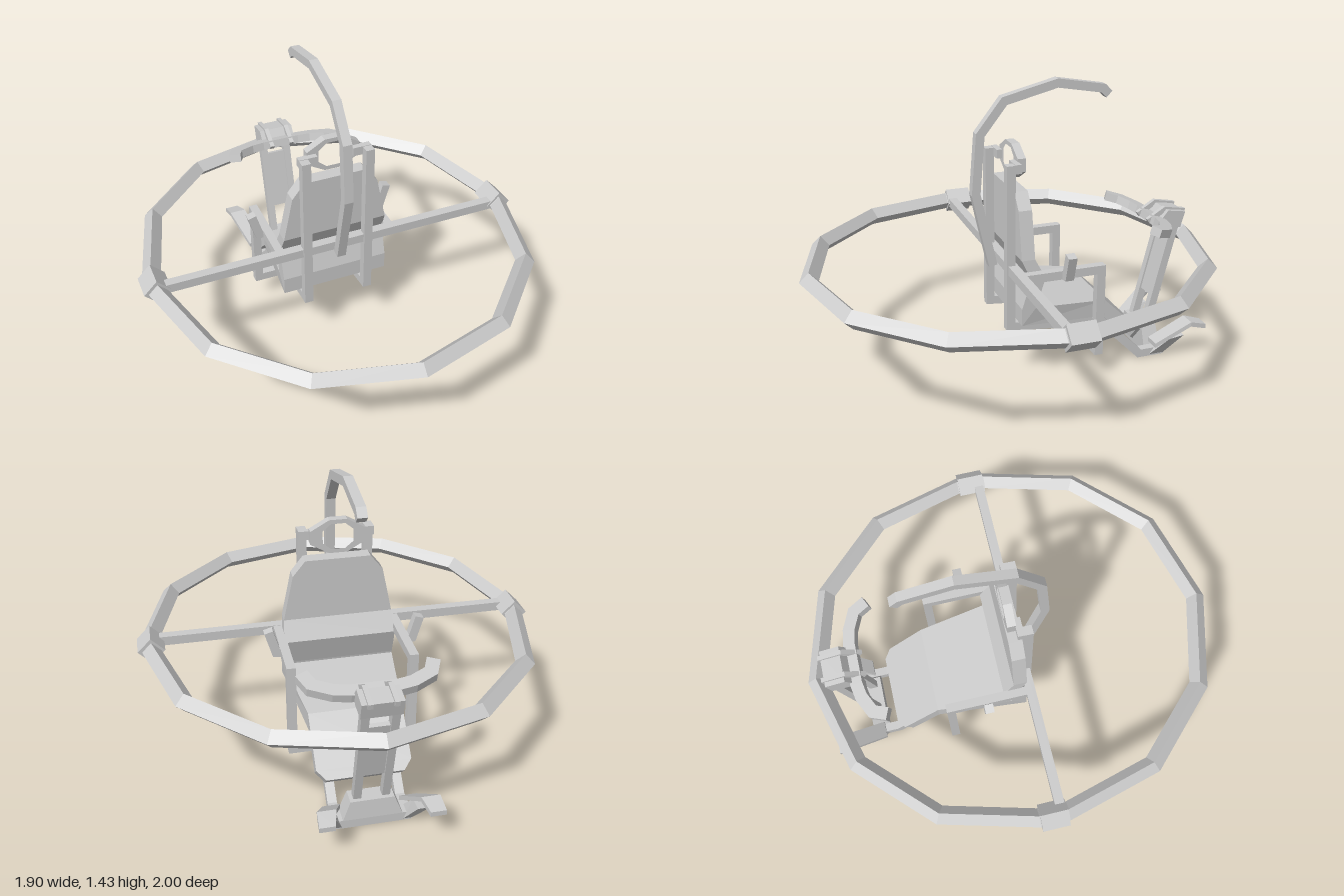
import * as THREE from 'three';

const V = (x, y, z) => new THREE.Vector3(x, y, z);
const material = new THREE.MeshStandardMaterial({ color: 0xcccccc, flatShading: true });

// Skin a row of equal-sized convex sections; open rows get end caps.
function loft(sections, closed = false) {
  const tris = [];
  const rows = sections.length, n = sections[0].length;
  for (let i = 0; i < (closed ? rows : rows - 1); i++) {
    const a = sections[i], b = sections[(i + 1) % rows];
    for (let j = 0; j < n; j++) {
      const k = (j + 1) % n;
      tris.push([a[j], a[k], b[k]], [a[j], b[k], b[j]]);
    }
  }
  if (!closed) {
    const a = sections[0], b = sections[rows - 1];
    for (let j = 1; j < n - 1; j++) tris.push([a[0], a[j + 1], a[j]], [b[0], b[j], b[j + 1]]);
  }
  // Turn the skin outwards if its signed volume is negative
  const centre = sections[0][0];
  let volume = 0;
  for (const t of tris) {
    const [p, q, r] = t.map(v => v.clone().sub(centre));
    volume += p.dot(q.cross(r));
  }
  if (volume < 0) tris.forEach(t => t.reverse());
  const geometry = new THREE.BufferGeometry();
  geometry.setAttribute('position', new THREE.Float32BufferAttribute(tris.flat().flatMap(v => v.toArray()), 3));
  geometry.computeVertexNormals();
  return geometry;
}

// Mitred square bar along a flat path; w is measured along the plane normal.
function bar(path, normal, w, h) {
  const nrm = normal.clone().normalize();
  return loft(path.map((p, i) => {
    const into = p.clone().sub(path[Math.max(i - 1, 0)]).normalize();
    const out = path[Math.min(i + 1, path.length - 1)].clone().sub(p).normalize();
    const tangent = into.clone().add(out).normalize();
    const miter = Math.max(tangent.dot(into), tangent.dot(out), 0.4);
    const side = tangent.cross(nrm).normalize().multiplyScalar(h / 2 / miter);
    return [[-1, -1], [1, -1], [1, 1], [-1, 1]].map(([s, t]) =>
      p.clone().addScaledVector(nrm, s * w / 2).addScaledVector(side, t));
  }));
}

const sidePath = (x, points) => points.map(([z, y]) => V(x, y, z));
const X = V(1, 0, 0), Y = V(0, 1, 0), Z = V(0, 0, 1);

export function createModel() {
  const group = new THREE.Group();
  const add = (name, geometry) => {
    const mesh = new THREE.Mesh(geometry, material);
    mesh.name = name;
    group.add(mesh);
    return mesh;
  };
  const addBox = (name, w, h, d, x, y, z) => {
    const mesh = add(name, new THREE.BoxGeometry(w, h, d));
    mesh.position.set(x, y, z);
    return mesh;
  };

  // Large hoop: two half circles joined by short straights, diamond section
  const hoop = [];
  for (let half = 0; half < 2; half++) {
    for (let i = 0; i <= 6; i++) {
      const a = -Math.PI / 2 + half * Math.PI + i * Math.PI / 6;
      const at = (r, y) => V(r * Math.sin(a), y, r * Math.cos(a) + (half ? -0.07 : 0.07));
      hoop.push([at(0.93, 0.583), at(0.885, 0.628), at(0.84, 0.583), at(0.885, 0.538)]);
    }
  }
  add('hoop', loft(hoop, true));

  // Crossbar and its sleeves on the hoop
  addBox('crossbar', 1.72, 0.045, 0.045, 0, 0.583, 0.038);
  for (const s of [-1, 1]) {
    const sleeve = addBox('hoopSleeve', 0.09, 0.09, 0.13, s * 0.888, 0.583, 0);
    sleeve.rotation.z = Math.PI / 4;
  }

  // Overhead hook
  add('overheadHook', bar(sidePath(0, [[0.083, 0.55], [0.165, 0.915], [0.142, 1.2], [0.025, 1.35],
    [-0.235, 1.415], [-0.465, 1.375], [-0.495, 1.345]]), X, 0.044, 0.042));

  // Seat: back, base and leg rest as one bent slab
  // [back z, back y, front z, front y, half width]
  const seat = [
    [0.025, 0.96, -0.04, 0.96, 0.155],
    [0.025, 0.885, -0.04, 0.885, 0.215],
    [0.025, 0.66, -0.04, 0.66, 0.262],
    [-0.02, 0.565, -0.09, 0.565, 0.27],
    [0.025, 0.42, -0.047, 0.43, 0.27],
    [0.025, 0.335, -0.045, 0.42, 0.27],
    [-0.42, 0.295, -0.42, 0.38, 0.22],
    [-0.565, 0.157, -0.605, 0.2, 0.22],
    [-0.6, 0.123, -0.64, 0.165, 0.18],
  ];
  add('seat', loft(seat.map(([bz, by, fz, fy, w]) =>
    [V(-w, by, bz), V(w, by, bz), V(w, fy, fz), V(-w, fy, fz)])));

  // Headrest ring
  const octagon = (x1, y1, x2, y2) => [[x1, y1], [x2, y2], [x2, -y2], [x1, -y1],
    [-x1, -y1], [-x2, -y2], [-x2, y2], [-x1, y1]].map(([x, y]) => new THREE.Vector2(x, y));
  const ring = new THREE.Shape(octagon(0.042, 0.082, 0.13, 0.032));
  ring.holes.push(new THREE.Path(octagon(0.034, 0.062, 0.072, 0.03)));
  add('headrest', new THREE.ExtrudeGeometry(ring, { depth: 0.04, bevelEnabled: false }))
    .position.set(0, 1.073, -0.04);

  for (const s of [-1, 1]) {
    // Upright running down and forward under the seat to the foot end
    add('mainRail', bar(sidePath(s * 0.157, [[0.047, 1.09], [0.047, 0.292], [-0.425, 0.247],
      [-0.645, 0.025], [-0.78, 0.025]]), X, 0.043, 0.042));
    addBox('headrestTab', 0.09, 0.043, 0.03, s * 0.133, 1.071, 0.012);

    // Arm bar and drop leg
    add('armFrame', bar(sidePath(s * 0.285, [[0.038, 0.583], [-0.357, 0.583], [-0.357, 0.14]]), X, 0.042, 0.042));

    // Control stick on the arm
    add('controlStick', bar([V(s * 0.29, 0.58, -0.18), V(s * 0.325, 0.585, -0.18), V(s * 0.357, 0.695, -0.18)],
      Z, 0.042, 0.042));

    // Steering column posts and clamps
    add('columnPost', bar(sidePath(s * 0.065, [[-0.725, 0.11], [-0.865, 0.7]]), X, 0.036, 0.04));
    add('handlebarClamp', bar(sidePath(s * 0.055, [[-0.715, 0.695], [-0.805, 0.75], [-0.915, 0.73]]), X, 0.022, 0.025));

    // Flared pedal plate with a bracket down to the rail
    const pedal = [[0.135, 0.215, 0.075, -0.715], [0.185, 0.27, 0.195, -0.88], [0.205, 0.275, 0.175, -0.96]];
    add('pedal', loft(pedal.map(([x1, x2, y, z]) => [V(s * x1, y - 0.012, z), V(s * x2, y - 0.012, z),
      V(s * x2, y + 0.012, z), V(s * x1, y + 0.012, z)])));
    add('pedalBracket', loft([
      [V(s * 0.14, 0.01, -0.7), V(s * 0.178, 0.01, -0.7), V(s * 0.178, 0.01, -0.78), V(s * 0.14, 0.01, -0.78)],
      [V(s * 0.18, 0.115, -0.78), V(s * 0.24, 0.115, -0.78), V(s * 0.24, 0.125, -0.86), V(s * 0.18, 0.125, -0.86)],
    ]));
  }
  addBox('underSeatBar', 0.61, 0.042, 0.042, 0, 0.157, -0.357);

  // Tapered column base
  const rect = (w, y, z1, z2) => [V(-w, y, z1), V(w, y, z1), V(w, y, z2), V(-w, y, z2)];
  add('columnBase', loft([rect(0.145, 0.003, -0.69, -0.78), rect(0.135, 0.045, -0.69, -0.78),
    rect(0.1, 0.135, -0.69, -0.77)]));

  // Plate between the posts and the head block above it
  add('columnPlate', bar(sidePath(0, [[-0.765, 0.28], [-0.838, 0.585]]), X, 0.12, 0.022));
  const head = [[-0.77, 0.7], [-0.81, 0.75], [-0.905, 0.735], [-0.883, 0.655], [-0.79, 0.665]];
  add('columnHead', loft([sidePath(-0.09, head), sidePath(0.09, head)]));

  // Swept handlebar
  const grip = [[0.1, -0.757], [0.17, -0.745], [0.255, -0.705], [0.285, -0.64]];
  const swept = [...grip.map(([x, z]) => [-x, z]).reverse(), ...grip];
  add('handlebar', bar(swept.map(([x, z]) => V(x, 0.735 + (z + 0.62) * 0.27, z)), V(0, 1, -0.27), 0.042, 0.06));

  return group;
}
